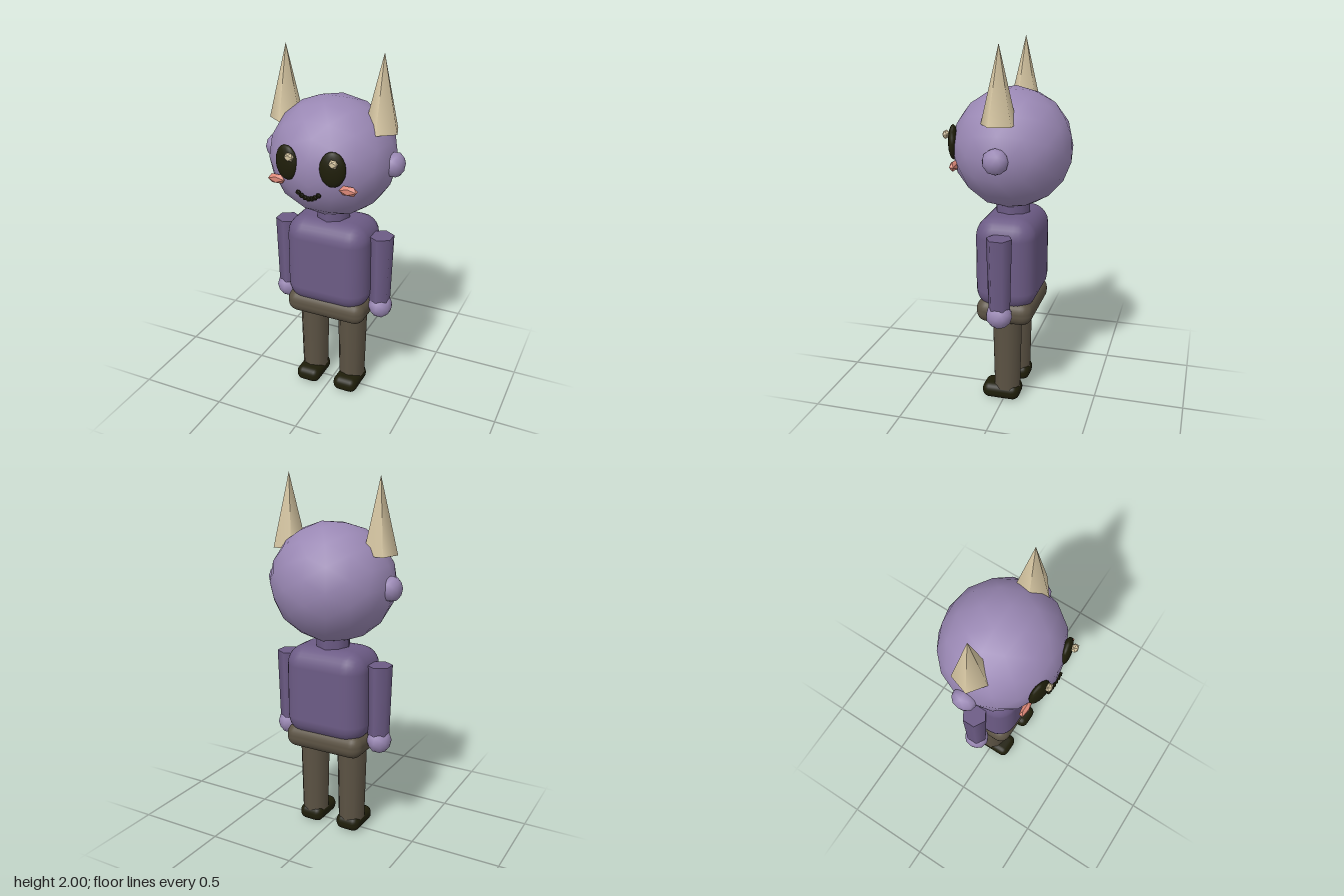
import * as THREE from 'three';
import { RoundedBoxGeometry } from 'three/addons/geometries/RoundedBoxGeometry.js';

const mat = (name, color) => {
  const m = new THREE.MeshStandardMaterial({ color });
  m.name = name;
  return m;
};

export function createModel() {
  const skin = mat('lilac skin', 0x9a88b4);
  const shirt = mat('purple shirt', 0x6c5b85);
  const trousers = mat('brown trousers', 0x5c5344);
  const dark = mat('near black', 0x1f1e0a);
  const horn = mat('ivory horn', 0xd6c6a2);
  const blush = mat('pink blush', 0xdd8878);

  const model = new THREE.Group();
  model.name = 'hornedFigure';
  const Z = -0.012; // depth of the body axis

  const add = (name, geometry, material, x, y, z) => {
    const mesh = new THREE.Mesh(geometry, material);
    mesh.name = name;
    mesh.position.set(x, y, z);
    model.add(mesh);
    return mesh;
  };
  // Low-poly ball stretched to three radii
  const ball = (name, material, detail, [x, y, z], [rx, ry, rz]) => {
    const mesh = add(name, new THREE.IcosahedronGeometry(1, detail), material, x, y, z);
    mesh.scale.set(rx, ry, rz);
    return mesh;
  };

  // Head, neck and torso
  ball('head', skin, 2, [0, 1.438, Z], [0.345, 0.324, 0.324]);
  add('neck', new THREE.CylinderGeometry(0.095, 0.095, 0.12, 8), shirt, 0, 1.11, Z);
  add('torso', new RoundedBoxGeometry(0.48, 0.52, 0.335, 3, 0.11), shirt, 0, 0.828, Z);
  add('hips', new RoundedBoxGeometry(0.47, 0.135, 0.315, 3, 0.06), trousers, 0, 0.557, Z);

  for (const s of [1, -1]) {
    const side = s > 0 ? 'left' : 'right';

    // Horn and ear
    add(side + 'Horn', new THREE.ConeGeometry(0.095, 0.395, 5), horn, s * 0.27, 1.8025, Z);
    ball(side + 'Ear', skin, 1, [s * 0.343, 1.435, Z], [0.055, 0.068, 0.068]);

    // Eye, glint and cheek
    const eye = ball(side + 'Eye', dark, 2, [s * 0.127, 1.475, 0.28], [0.068, 0.094, 0.027]);
    eye.rotation.y = s * 0.22;
    ball(side + 'EyeGlint', horn, 0, [s * 0.12 + 0.025, 1.517, 0.313], [0.026, 0.026, 0.02]);
    ball(side + 'Cheek', blush, 0, [s * 0.2, 1.364, 0.253], [0.055, 0.029, 0.021]);

    // Arm and hand
    add(side + 'Arm', new THREE.CylinderGeometry(0.07, 0.06, 0.4, 6), shirt, s * 0.283, 0.815, Z);
    ball(side + 'Hand', skin, 1, [s * 0.288, 0.58, Z], [0.068, 0.072, 0.072]);

    // Leg and shoe
    add(side + 'Leg', new THREE.CylinderGeometry(0.085, 0.075, 0.47, 10), trousers, s * 0.12, 0.305, Z);
    add(side + 'Shoe', new RoundedBoxGeometry(0.145, 0.09, 0.215, 3, 0.04), dark, s * 0.12, 0.045, 0.017);
  }

  // Smile made of small beads
  for (let i = -3; i <= 3; i++) {
    const t = i / 3;
    ball('mouthBead', dark, 0, [t * 0.056, 1.304 + 0.026 * t * t, 0.296], [0.015, 0.015, 0.015]);
  }

  return model;
}
